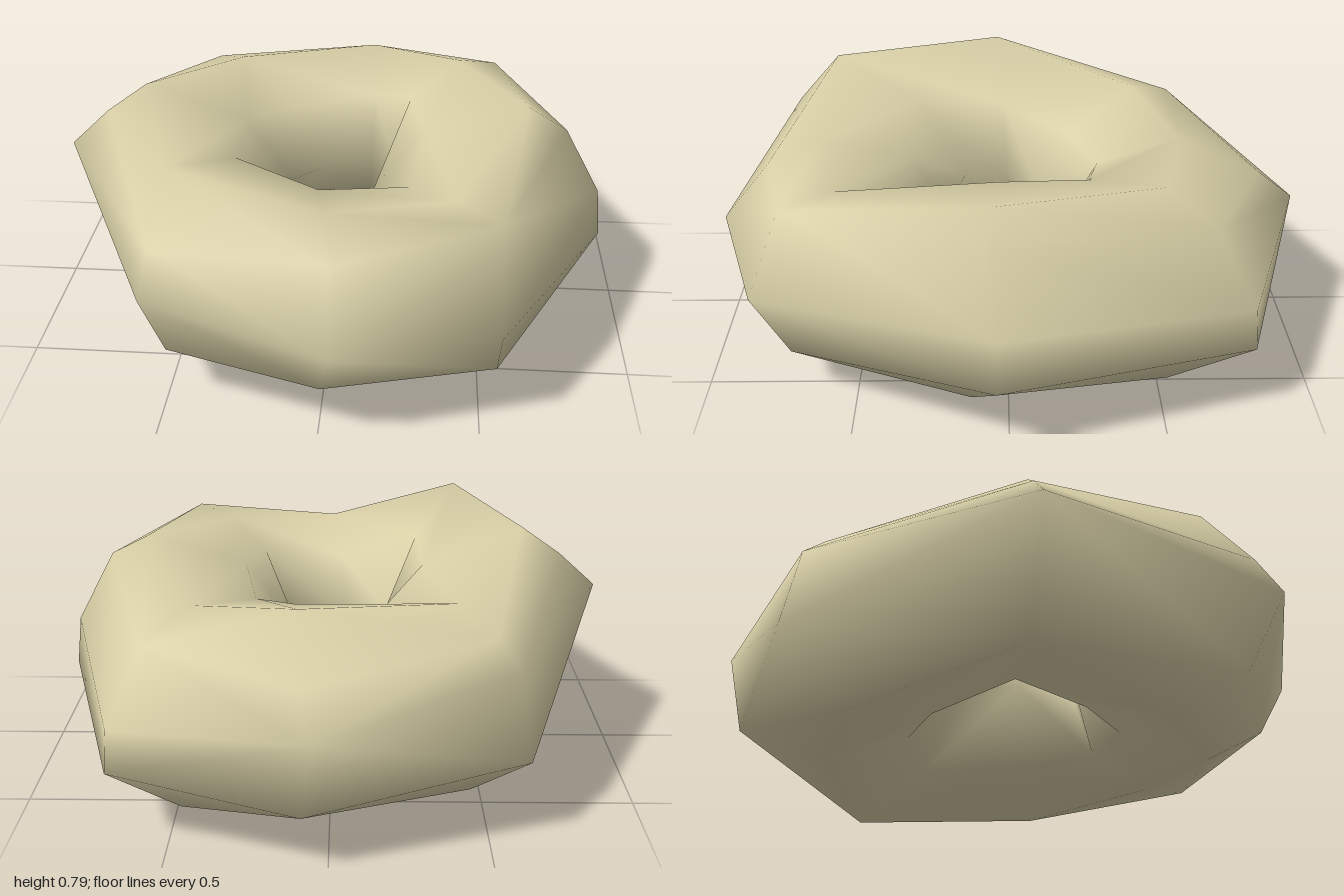
import * as THREE from 'three';

// Guide points of each tube section (x, y, z):
// outer, outer top, top, inner, bottom, outer bottom
const sections = [
  // front
  [[0.04, 0.38, 1.0], [0.04, 0.59, 0.83], [0, 0.66, 0.64], [-0.06, 0.37, 0.22], [0, 0.09, 0.7], [0.01, 0.2, 0.9]],
  // front left
  [[0.55, 0.36, 0.83], [0.54, 0.68, 0.71], [0.4, 0.67, 0.56], [0.18, 0.4, 0.25], [0.36, 0.1, 0.52], [0.55, 0.16, 0.71]],
  // left
  [[0.91, 0.44, 0.04], [0.78, 0.68, 0.06], [0.65, 0.75, 0.04], [0.13, 0.42, 0.04], [0.7, 0.085, 0.12], [0.93, 0.27, 0.04]],
  // back left
  [[0.67, 0.39, -0.77], [0.57, 0.62, -0.65], [0.42, 0.69, -0.5], [0.19, 0.42, -0.17], [0.49, 0, -0.54], [0.68, 0.25, -0.78]],
  // back
  [[0.05, 0.46, -1.0], [0.08, 0.57, -0.87], [0.1, 0.71, -0.58], [0.11, 0.42, -0.21], [0.08, 0.1, -0.65], [0.08, 0.2, -0.95]],
  // back right
  [[-0.58, 0.55, -0.68], [-0.51, 0.63, -0.62], [-0.4, 0.69, -0.47], [-0.08, 0.4, -0.12], [-0.46, 0.06, -0.52], [-0.62, 0.27, -0.73]],
  // right
  [[-0.93, 0.57, 0.06], [-0.8, 0.69, 0.04], [-0.66, 0.79, 0.03], [-0.16, 0.42, 0], [-0.79, 0.14, 0.02], [-0.84, 0.31, 0.04]],
  // front right
  [[-0.53, 0.47, 0.87], [-0.51, 0.6, 0.79], [-0.47, 0.79, 0.63], [-0.2, 0.42, 0.15], [-0.37, 0.09, 0.52], [-0.49, 0.2, 0.74]],
];

// Eight-point cross-section: the two corners by the hole are rounded from their neighbours
function crossSection(guides) {
  const [outer, outerTop, top, inner, bottom, outerBottom] = guides.map((g) => new THREE.Vector3(...g));
  const centre = new THREE.Vector3().add(outer).add(top).add(inner).add(bottom).multiplyScalar(0.25);
  const corner = (a, b) => a.clone().add(b).addScaledVector(centre, -2).multiplyScalar(Math.SQRT1_2).add(centre);
  return [outer, outerTop, top, corner(top, inner), inner, corner(inner, bottom), bottom, outerBottom];
}

// Split a bent quad along its outward-bulging diagonal
function splitQuad(points, a, b, c, d) {
  const [pa, pb, pc, pd] = [a, b, c, d].map((k) => points[k]);
  const normal = pc.clone().sub(pa).cross(pd.clone().sub(pb));
  const bulge = pb.clone().add(pd).sub(pa).sub(pc).dot(normal);
  return bulge > 0 ? [a, b, d, b, c, d] : [a, b, c, a, c, d];
}

export function createModel() {
  const dough = new THREE.MeshStandardMaterial({ color: 0xd8cfa6 });
  dough.name = 'paleDough';

  // Loft the sections into a closed, lumpy ring
  const points = sections.flatMap(crossSection);
  const n = sections.length, m = 8;
  const index = [];
  for (let i = 0; i < n; i++) {
    for (let j = 0; j < m; j++) {
      const i2 = (i + 1) % n, j2 = (j + 1) % m;
      index.push(...splitQuad(points, i * m + j, i2 * m + j, i2 * m + j2, i * m + j2));
    }
  }
  const geometry = new THREE.BufferGeometry().setFromPoints(points);
  geometry.setIndex(index);
  geometry.computeVertexNormals();

  const ring = new THREE.Mesh(geometry, dough);
  ring.name = 'lumpyRing';
  const group = new THREE.Group();
  group.name = 'ringModel';
  group.add(ring);
  return group;
}
